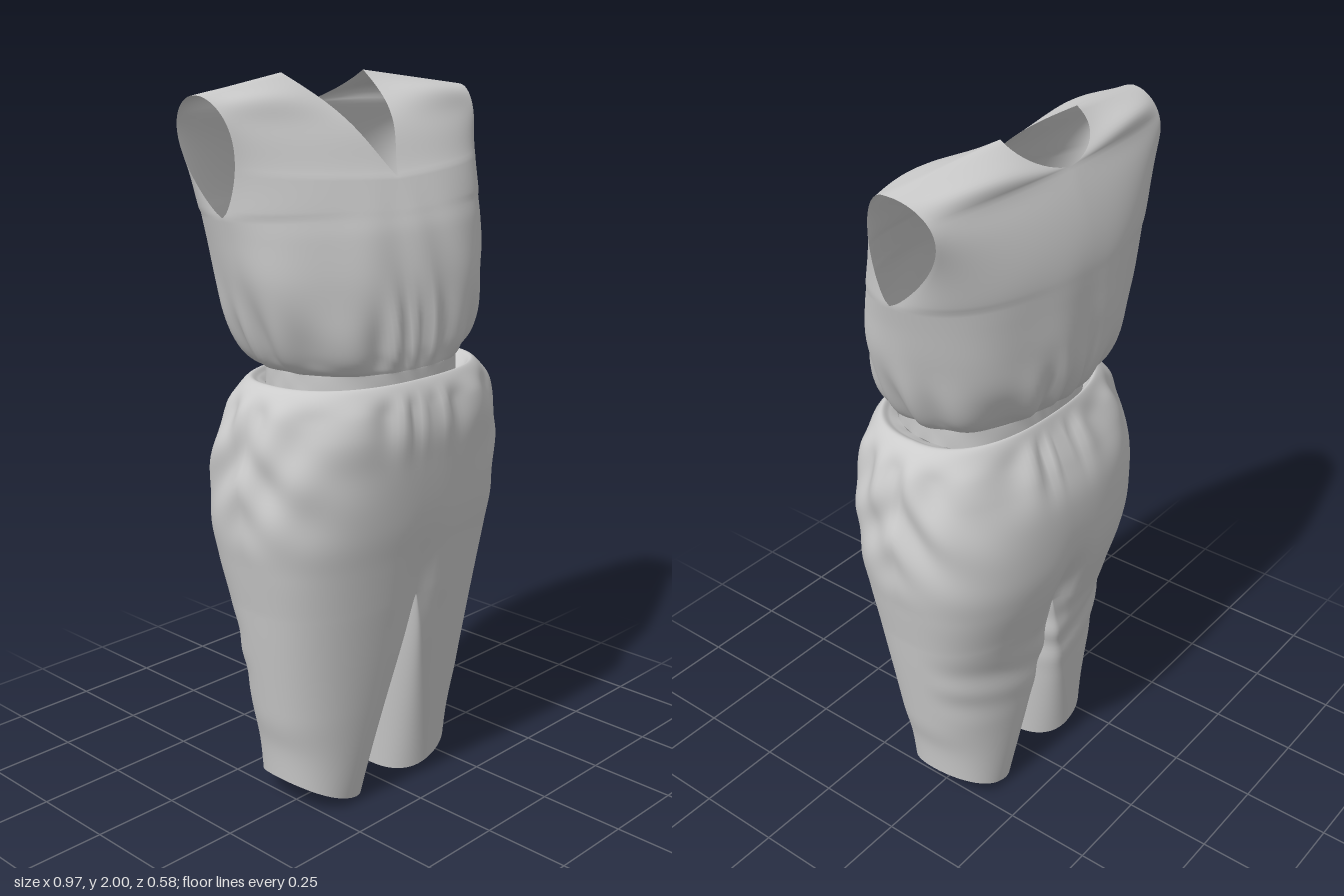
import * as THREE from 'three';
import { mergeVertices } from 'three/addons/utils/BufferGeometryUtils.js';

const { lerp, smoothstep } = THREE.MathUtils;
const mix = (a, b, t) => a.map((v, i) => lerp(v, b[i], t));
const bell = (v, centre, width) => Math.exp(-(((v - centre) / width) ** 2));

// Cross-sections, top to bottom: [height, half width, side seam z, front z, back z]
const bodiceRows = [
  [1.66, 0.445, -0.03, 0.185, -0.285], [1.6, 0.432, -0.02, 0.21, -0.285],
  [1.5, 0.412, 0, 0.235, -0.283], [1.4, 0.382, 0, 0.248, -0.272],
  [1.32, 0.347, 0, 0.247, -0.24], [1.272, 0.312, 0, 0.238, -0.198], [1.255, 0.28, 0, 0.235, -0.18],
];
const bandRows = [[1.255, 0.28, 0, 0.235, -0.18], [1.2, 0.28, 0, 0.235, -0.18]];
const hipRows = [
  [1.2, 0.28, 0, 0.235, -0.18], [1.215, 0.312, 0.01, 0.238, -0.183], [1.228, 0.345, 0.01, 0.247, -0.19],
  [1.185, 0.387, 0, 0.27, -0.208], [1.1, 0.413, 0, 0.287, -0.25], [1, 0.43, 0, 0.283, -0.28],
  [0.85, 0.438, 0, 0.27, -0.285], [0.74, 0.422, 0, 0.253, -0.27], [0.62, 0.4, 0, 0.235, -0.235],
];
const legRows = [
  [0.62, 0.4, 0, 0.235, -0.235], [0.5, 0.382, 0, 0.213, -0.2], [0.3, 0.35, 0, 0.178, -0.18],
  [0.15, 0.327, 0, 0.153, -0.165], [0, 0.312, 0, 0.13, -0.15],
];

// Smooth interpolation through a table of cross-sections
function sampler(rows) {
  const a = new THREE.CatmullRomCurve3(rows.map(r => new THREE.Vector3(r[0], r[1], r[2])), false, 'catmullrom', 0.5);
  const b = new THREE.CatmullRomCurve3(rows.map(r => new THREE.Vector3(r[3], r[4], 0)), false, 'catmullrom', 0.5);
  return v => {
    const p = a.getPoint(v), q = b.getPoint(v);
    return [p.x, p.y, p.z, q.x, q.y];
  };
}

// Quarter superellipse: s runs from centre line to side seam, a smaller e is boxier
const SOFT = 0.86, BOXY = 0.77;
const across = (s, e) => Math.pow(Math.sin(s * Math.PI / 2), e);
const depth = (s, e) => s >= 1 ? 0 : Math.pow(Math.cos(s * Math.PI / 2), e);

// Closed body section, front or back quarter
const bodyQuarter = (rows, front, endShape = SOFT) => {
  const at = sampler(rows);
  return (s, v) => {
    const [y, w, sz, zf, zb] = at(v), e = lerp(SOFT, endShape, Math.min(1, v * 2));
    return [w * across(s, e), y, lerp(sz, front ? zf : zb, depth(s, e))];
  };
};

// Leg tube quarter; the centre line moves outward below the crotch
const legQuarter = (front, inner) => {
  const at = sampler(legRows);
  return (s, v) => {
    const [y, w, sz, zf, zb] = at(v);
    const k = THREE.MathUtils.clamp(1 - y / 0.62, 0, 1);
    const e = inner ? lerp(0.55, 0.85, k) : lerp(BOXY, 0.95, k);
    const cx = 0.18 * Math.pow(k, 0.9), edge = inner ? 0.055 * Math.pow(k, 1.15) : w;
    const x = lerp(cx, edge, across(s, e));
    const lift = 0.092 * smoothstep(k, 0.5, 1) * Math.pow(Math.max(0, (x - 0.055) / 0.257), 1.8);
    return [x, y + lift, lerp(sz, front ? zf : zb, depth(s, e))];
  };
};

// Yoke between neckline and armhole, closing at the shoulder seam
const NECK = [0.152, 1.997, -0.125], SHOULDER = [0.487, 1.953, -0.07];
const yokeQuarter = front => (s, v) => {
  const t = 1 - v;
  const arch = t >= 1 ? 0 : Math.sin(Math.PI * t);
  const arm = mix([0.445, 1.66, -0.03], SHOULDER, t);
  arm[0] -= 0.015 * arch;
  arm[1] = lerp(1.66, SHOULDER[1], 1 - Math.pow(1 - t, 1.4));
  arm[2] += front ? 0.072 * Math.pow(arch, 0.65) : -0.13 * Math.pow(arch, 0.75);
  let c;
  if (front) {
    const q = Math.max(0, (t - 0.3) / 0.7);
    c = t <= 0.3 ? mix([0, 1.66, 0.185], [0, 1.74, 0.145], t / 0.3) : mix([0, 1.74, 0.145], NECK, q);
    c[2] += 0.05 * Math.sin(Math.PI * Math.pow(q, 1.3));
  } else {
    const q = Math.max(0, (t - 0.7) / 0.3), r = Math.pow(t / 0.7, 1.8);
    c = t <= 0.7 ? [0, lerp(1.66, 1.91, t / 0.7), lerp(-0.285, -0.22, r)]
      : [NECK[0] * Math.sin(q * Math.PI / 2), lerp(1.91, NECK[1], Math.pow(q, 1.4)), lerp(-0.22, NECK[2], q * q)];
  }
  // Cloth rounds over the shoulder, just off the seam
  const round = 0.02 * Math.sin(Math.PI * s) * bell(t, 0.84, 0.12) * (1 - Math.pow(t, 8));
  return [
    lerp(c[0], arm[0], lerp(across(s, SOFT), s, t)),
    lerp(c[1], arm[1], s) + round,
    lerp(arm[2], c[2], lerp(depth(s, SOFT), 1 - s, t * t)) + (front ? round : -round),
  ];
};

// Gathers, pocket bulges and soft creases as an offset along the normal
function folds(x, y, z) {
  const th = Math.atan2(x, z), side = Math.pow(Math.abs(Math.sin(th)), 6);
  const away = smoothstep(Math.abs(y - 1.228), 0.012, 0.07);
  const gather = Math.sin(th * 17 + 2 * Math.sin(th * 4 + 0.6) + y * 3);
  let d = away * gather * (0.008 * bell(y, 1.15, 0.08) + 0.009 * bell(y, 1.33, 0.1));
  d += away * 0.004 * Math.sin(th * 9 + 1.5 * Math.sin(y * 9)) * bell(y, 1.45, 0.16);
  // Draped pocket pouches at the hips
  d += away * side * bell(y, 1.02, 0.15) * (0.008 * Math.sin(y * 34 + Math.abs(z) * 32) + 0.006 * Math.sin(z * 40 - y * 18));
  // Slack behind the knees
  if (z < 0) d += 0.004 * bell(y, 0.45, 0.1) * Math.sin(y * 44 - Math.abs(x) * 18) * smoothstep(-z, 0.02, 0.14);
  return d;
}

// Centre crease running down the seat into the crotch
const crease = (x, y, z) => 1 - (z < 0 ? 0.17 : 0.05) * bell(x, 0, 0.055) * bell(y, 0.65, 0.13);

// Builds mirrored grids from patches and welds them into one cloth
function cloth(name, patches) {
  const pos = [], index = [], nu = 44;
  for (const { f, nv, flip } of patches) for (const m of [1, -1]) {
    const base = pos.length / 3;
    for (let j = 0; j <= nv; j++) for (let i = 0; i <= nu; i++) {
      const [x, y, z] = f(i / nu, j / nv);
      pos.push(m * x, y, z * crease(x, y, z));
    }
    for (let j = 0; j < nv; j++) for (let i = 0; i < nu; i++) {
      const a = base + j * (nu + 1) + i, b = a + 1, c = a + nu + 1, d = c + 1;
      if (flip === (m < 0)) index.push(a, c, b, b, c, d);
      else index.push(a, b, c, b, d, c);
    }
  }
  let g = new THREE.BufferGeometry();
  g.setAttribute('position', new THREE.Float32BufferAttribute(pos, 3));
  g.setIndex(index);
  g = mergeVertices(g, 1e-4);
  g.computeVertexNormals();
  const p = g.attributes.position, n = g.attributes.normal;
  for (let i = 0; i < p.count; i++) {
    const d = folds(p.getX(i), p.getY(i), p.getZ(i));
    p.setXYZ(i, p.getX(i) + n.getX(i) * d, p.getY(i) + n.getY(i) * d, p.getZ(i) + n.getZ(i) * d);
  }
  g.computeVertexNormals();
  const mesh = new THREE.Mesh(g, new THREE.MeshStandardMaterial({ color: 0xcccccc, side: THREE.DoubleSide }));
  mesh.name = name;
  return mesh;
}

export function createModel() {
  const group = new THREE.Group();
  group.name = 'jumpsuit';
  const bodice = [], band = [], trousers = [];
  for (const front of [true, false]) {
    const flip = !front;
    bodice.push({ f: yokeQuarter(front), nv: 40, flip }, { f: bodyQuarter(bodiceRows, front), nv: 36, flip });
    band.push({ f: bodyQuarter(bandRows, front), nv: 3, flip });
    trousers.push({ f: bodyQuarter(hipRows, front, BOXY), nv: 64, flip });
    for (const inner of [false, true]) trousers.push({ f: legQuarter(front, inner), nv: 48, flip: front === inner });
  }
  group.add(cloth('bodice', bodice), cloth('waistband', band), cloth('trousers', trousers));
  return group;
}
